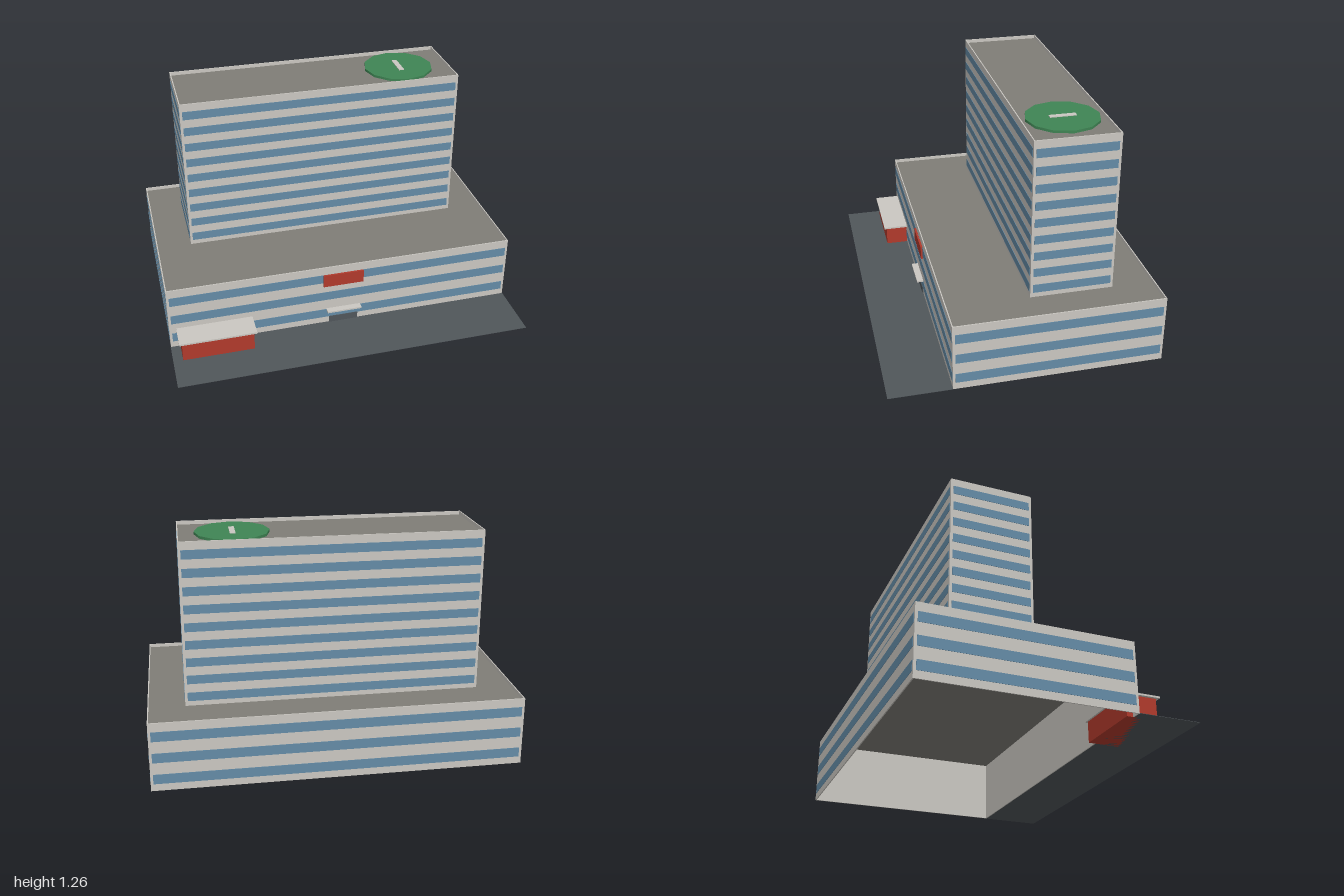
import * as THREE from 'three';

const mat = (name, color) => {
  const m = new THREE.MeshStandardMaterial({ color });
  m.name = name;
  return m;
};

export function createModel() {
  const concrete = mat('pale concrete', 0xcac7c1);
  const glass = mat('blue glass', 0x648ba6);
  const roofing = mat('grey roofing', 0x7f7d77);
  const asphalt = mat('dark asphalt', 0x50565a);
  const red = mat('red panel', 0xb03a2c);
  const green = mat('green pad', 0x3f8554);

  const model = new THREE.Group();
  model.name = 'building';

  // Box given by its minimum and maximum along each axis
  const box = (parent, name, material, [x0, x1], [y0, y1], [z0, z1]) => {
    const mesh = new THREE.Mesh(new THREE.BoxGeometry(x1 - x0, y1 - y0, z1 - z0), material);
    mesh.position.set((x0 + x1) / 2, (y0 + y1) / 2, (z0 + z1) / 2);
    mesh.name = name;
    parent.add(mesh);
    return mesh;
  };

  // Hollow block: four thin walls, a sunken roof and window bands all round
  const block = (name, { x, z, y, roofY, bands, firstBand, pitch, bandHeight, inset }) => {
    const group = new THREE.Group();
    group.name = name;
    model.add(group);
    const t = 0.006;
    const out = 0.002;
    const [x0, x1] = x;
    const [z0, z1] = z;
    box(group, 'frontWall', concrete, x, y, [z1 - t, z1]);
    box(group, 'backWall', concrete, x, y, [z0, z0 + t]);
    box(group, 'leftWall', concrete, [x1 - t, x1], y, [z0 + t, z1 - t]);
    box(group, 'rightWall', concrete, [x0, x0 + t], y, [z0 + t, z1 - t]);
    box(group, 'roof', roofing, [x0 + t, x1 - t], [roofY - 0.004, roofY], [z0 + t, z1 - t]);
    const bx = [x0 + inset, x1 - inset];
    const bz = [z0 + inset, z1 - inset];
    for (let i = 0; i < bands; i++) {
      const b = firstBand + i * pitch;
      const by = [b, b + bandHeight];
      box(group, 'frontWindows', glass, bx, by, [z1, z1 + out]);
      box(group, 'backWindows', glass, bx, by, [z0 - out, z0]);
      box(group, 'leftWindows', glass, [x1, x1 + out], by, bz);
      box(group, 'rightWindows', glass, [x0 - out, x0], by, bz);
    }
  };

  block('podium', {
    x: [-0.998, 0.998], z: [-0.74, 0.4], y: [0, 0.384], roofY: 0.365,
    bands: 3, firstBand: 0.04, pitch: 0.1205, bandHeight: 0.054, inset: 0.014,
  });
  block('tower', {
    x: [-0.8, 0.8], z: [-0.51, -0.056], y: [0.365, 1.261], roofY: 1.241,
    bands: 9, firstBand: 0.392, pitch: 0.0971, bandHeight: 0.048, inset: 0.014,
  });

  // Paved forecourt
  box(model, 'forecourt', asphalt, [-1, 1], [0, 0.002], [0.4, 0.74]);

  // Side annexe with overhanging roof
  box(model, 'annexe', red, [-0.945, -0.545], [0, 0.116], [0.36, 0.53]);
  box(model, 'annexeRoof', concrete, [-0.96, -0.53], [0.116, 0.126], [0.35, 0.545]);

  // Main entrance and the panel above it
  box(model, 'entranceDoor', asphalt, [-0.085, 0.085], [0, 0.042], [0.4, 0.405]);
  box(model, 'entranceCanopy', concrete, [-0.1, 0.1], [0.09, 0.099], [0.4, 0.437]);
  box(model, 'wallPanel', red, [-0.117, 0.117], [0.259, 0.335], [0.4, 0.411]);

  // Landing pad with its central stripe
  const pad = new THREE.Mesh(new THREE.CylinderGeometry(0.2, 0.2, 0.014, 12), green);
  pad.position.set(0.512, 1.248, -0.288);
  pad.name = 'landingPad';
  model.add(pad);
  box(model, 'padStripe', concrete, [0.497, 0.527], [1.255, 1.259], [-0.361, -0.217]);

  return model;
}
